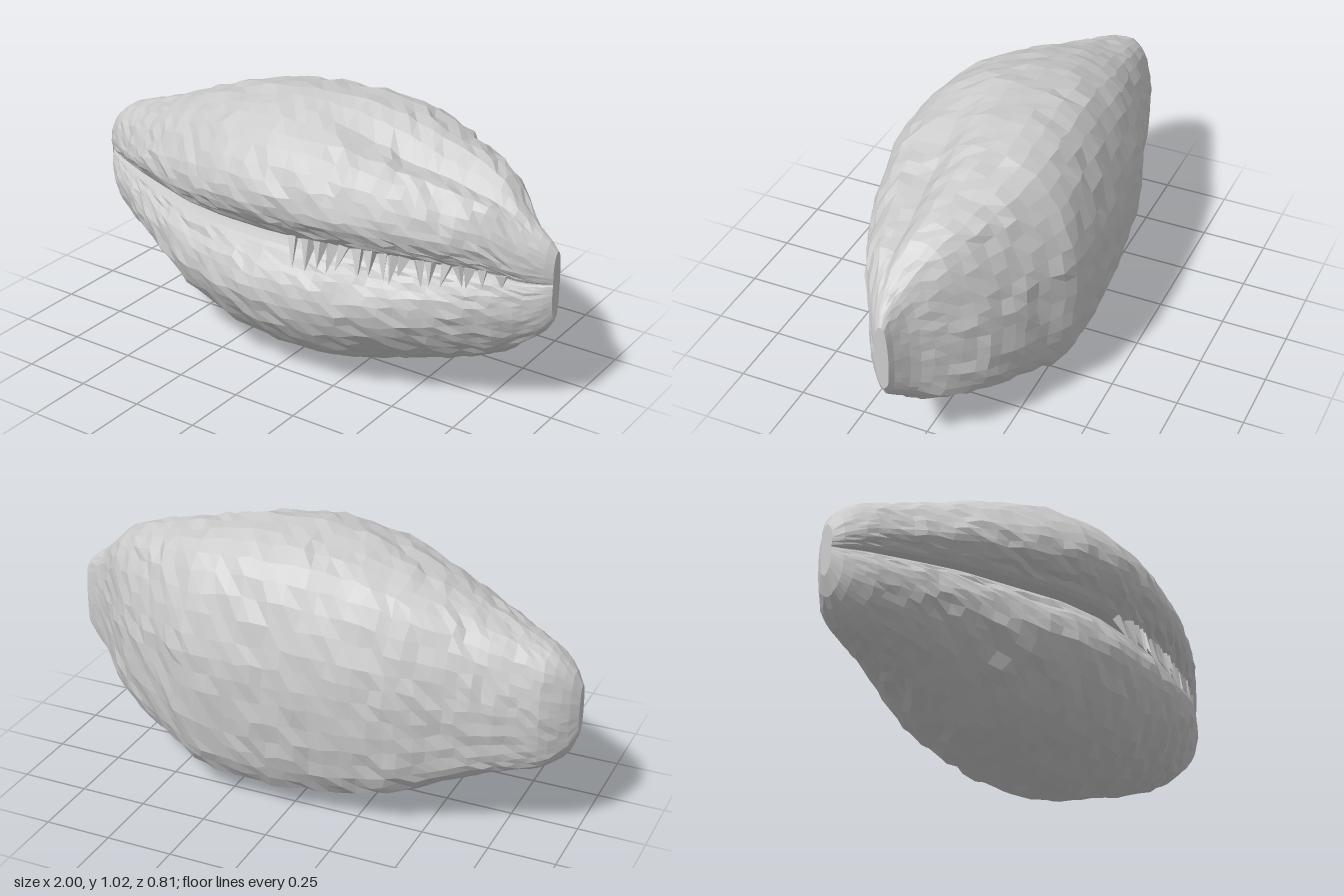
import * as THREE from 'three';

// Outline stations along the length: x, bottom y, top y, back z, front z
const STATIONS = [
  [-1, 0.43, 0.62, -0.09, -0.04], [-0.97, 0.35, 0.68, -0.13, 0],
  [-0.9, 0.29, 0.74, -0.19, 0.06], [-0.75, 0.24, 0.79, -0.24, 0.15],
  [-0.6, 0.18, 0.85, -0.28, 0.23], [-0.4, 0.08, 0.93, -0.35, 0.32],
  [-0.2, 0.03, 0.99, -0.38, 0.38], [0, 0.005, 1.02, -0.4, 0.4],
  [0.2, 0.005, 1.02, -0.41, 0.385], [0.35, 0.04, 1, -0.41, 0.355],
  [0.42, 0.065, 0.98, -0.385, 0.335], [0.5, 0.09, 0.96, -0.34, 0.31],
  [0.6, 0.12, 0.93, -0.29, 0.27], [0.7, 0.16, 0.9, -0.235, 0.23],
  [0.8, 0.2, 0.86, -0.15, 0.18], [0.9, 0.29, 0.75, -0.05, 0.12],
  [0.97, 0.35, 0.7, -0.01, 0.075], [1, 0.4, 0.66, 0, 0.05],
];

// Cross-section from inside the slit, over the top, round the back and under
// u: -1 back .. 1 front, v: 0 bottom .. 1 top
const SECTION = [
  [0.62, 0.55], [0.78, 0.57], [0.86, 0.605], [0.96, 0.65], [1, 0.72], [0.92, 0.81],
  [0.7, 0.91], [0.4, 0.97], [0.05, 1], [-0.3, 0.985], [-0.62, 0.93], [-0.83, 0.8],
  [-0.96, 0.64], [-1, 0.5], [-0.98, 0.34], [-0.92, 0.2], [-0.8, 0.1], [-0.45, 0.035],
  [-0.1, 0], [0.2, 0.025], [0.5, 0.08], [0.75, 0.16], [0.93, 0.26], [1, 0.36],
  [0.94, 0.44], [0.84, 0.495], [0.78, 0.525], [0.62, 0.54],
];

// Interpolated outline at a given x
function station(x) {
  let i = 0;
  while (i < STATIONS.length - 2 && STATIONS[i + 1][0] < x) i++;
  const a = STATIONS[i], b = STATIONS[i + 1];
  const t = (x - a[0]) / (b[0] - a[0]);
  return a.map((v, k) => v + (b[k] - v) * t);
}

// Furrow between the domed back and the swollen upper lip
function furrow(x, u, v) {
  if (v < 0.75) return 0;
  const along = THREE.MathUtils.smoothstep(x, 0, 0.5) * (1 - THREE.MathUtils.smoothstep(x, 0.75, 0.95));
  return 0.075 * along * Math.exp(-(((u - 0.38) / 0.2) ** 2));
}

// Point on the shell surface from x and section coordinates
function place(x, u, v) {
  const [, y0, y1, z0, z1] = station(x);
  const y = y0 + (y1 - y0) * (v - furrow(x, u, v));
  return new THREE.Vector3(x, y, (z0 + z1) / 2 + (u * (z1 - z0)) / 2);
}

function seeded(seed) {
  return () => {
    seed = (seed * 16807) % 2147483647;
    return seed / 2147483647;
  };
}

function shellGeometry() {
  const rand = seeded(41);
  const curve = new THREE.CatmullRomCurve3(SECTION.map(([u, v]) => new THREE.Vector3(u, v, 0)), false, 'centripetal');
  const N = 58, M = 46;
  const ring = Array.from({ length: N }, (_, j) => curve.getPoint(j / (N - 1)));
  const pos = [], idx = [];
  for (let i = 0; i <= M; i++) {
    // closer rings towards both tips
    const s = (i / M) * 2 - 1;
    const x = 0.55 * s + 0.45 * Math.sin((s * Math.PI) / 2);
    ring.forEach((p) => {
      const q = place(x, p.x, p.y);
      // slight irregularity of the grown surface, calm inside the slit and at the tips
      const inSlit = p.x > 0.55 && Math.abs(p.y - 0.55) < 0.05;
      const amp = inSlit ? 0 : 0.014 * (1 - Math.abs(s) ** 3);
      q.x += (rand() - 0.5) * amp * 1.6;
      q.y += (rand() - 0.5) * amp;
      q.z += (rand() - 0.5) * amp;
      pos.push(q.x, q.y, q.z);
    });
  }
  for (let i = 0; i < M; i++) {
    for (let j = 0; j < N; j++) {
      const k = (j + 1) % N;
      const a = i * N + j, b = a + N, c = i * N + k, d = c + N;
      idx.push(a, b, c, b, d, c);
    }
  }
  // close the narrow tips, bridging upper and lower halves
  for (const [o, flip] of [[0, false], [M * N, true]]) {
    for (let j = 0; j < N / 2 - 1; j++) {
      const a = o + j, b = o + j + 1, c = o + N - 1 - j, d = c - 1;
      if (flip) idx.push(a, b, c, b, d, c);
      else idx.push(a, c, b, b, c, d);
    }
  }
  const g = new THREE.BufferGeometry();
  g.setAttribute('position', new THREE.Float32BufferAttribute(pos, 3));
  g.setIndex(idx);
  g.computeVertexNormals();
  return g;
}

export function createModel() {
  const group = new THREE.Group();
  group.name = 'seashell';
  const material = new THREE.MeshStandardMaterial({ color: 0xcccccc, flatShading: true, side: THREE.DoubleSide });

  const shell = new THREE.Mesh(shellGeometry(), material);
  shell.name = 'shell';
  group.add(shell);

  // Uneven jagged teeth hanging from the upper lip across the slit
  const teeth = new THREE.Group();
  teeth.name = 'teeth';
  const rand = seeded(7);
  const up = new THREE.Vector3(0, 1, 0);
  for (let i = 0; i < 17; i++) {
    const x = 0.13 + i * 0.044 + (rand() - 0.5) * 0.03;
    const root = place(x, 0.78, 0.575);
    const tip = place(x + (rand() - 0.3) * 0.04, 0.89, 0.455 + rand() * 0.05);
    const dir = tip.clone().sub(root);
    const tooth = new THREE.Mesh(new THREE.ConeGeometry(0.018 + rand() * 0.014, dir.length(), 4), material);
    tooth.name = 'tooth';
    tooth.position.copy(root).add(tip).multiplyScalar(0.5);
    tooth.quaternion.setFromUnitVectors(up, dir.normalize());
    teeth.add(tooth);
  }
  group.add(teeth);
  return group;
}
